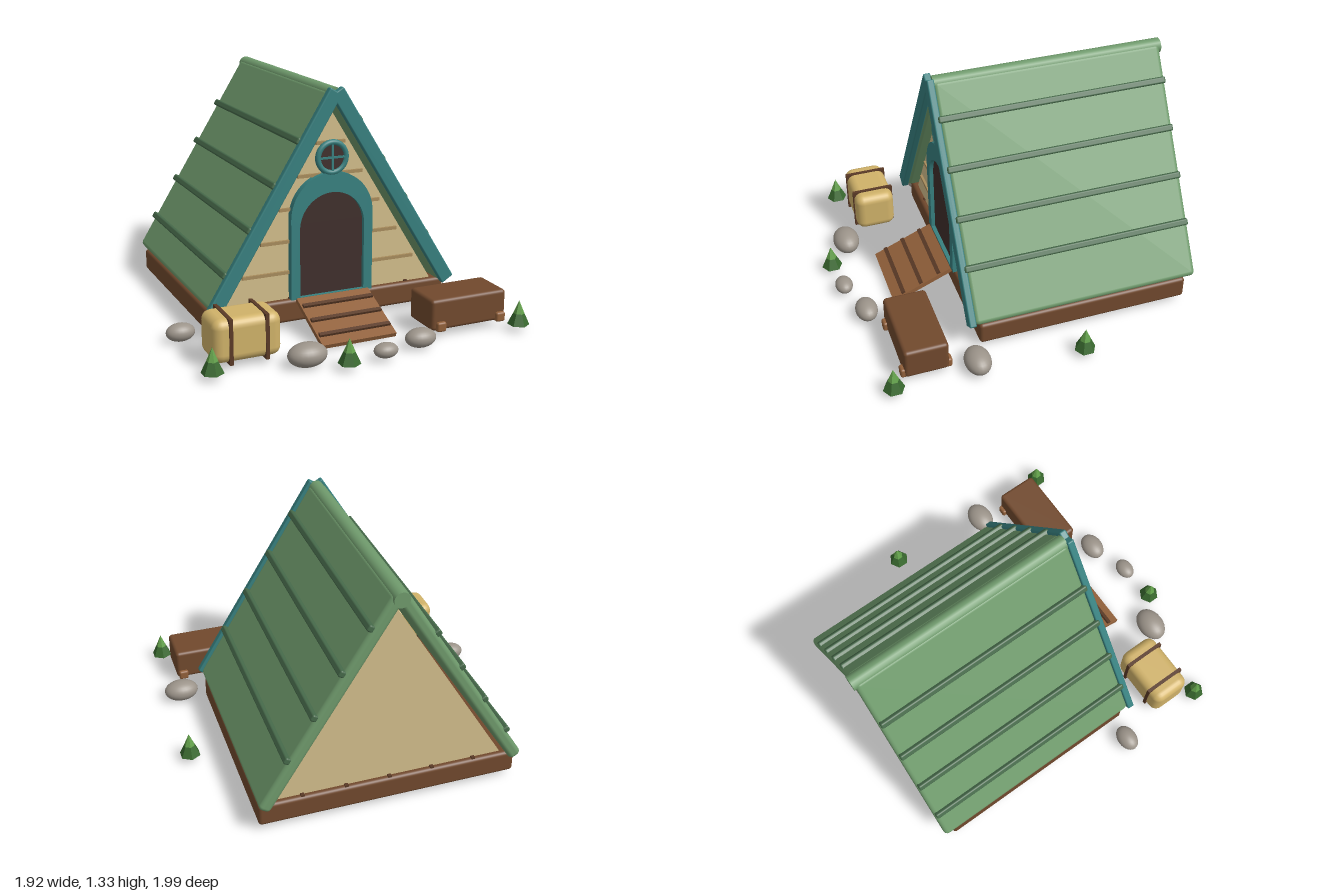
import * as THREE from 'three';
import { RoundedBoxGeometry } from 'three/addons/geometries/RoundedBoxGeometry.js';

const mat = (color) => new THREE.MeshStandardMaterial({ color });
const M = {
  roof: mat(0x6f9a6c), batten: mat(0x46694a), trim: mat(0x37807f), wall: mat(0xd2bd8b),
  siding: mat(0xa88c5c), base: mat(0x71492d), ramp: mat(0x91603a), dark: mat(0x5a3a26),
  door: mat(0x3f2e2b), sack: mat(0xd0b269), rock: mat(0x9c948a), bush: mat(0x39692f), bushTop: mat(0x62a04a),
};
M.bush.flatShading = M.bushTop.flatShading = true;

function add(parent, name, geo, material, x = 0, y = 0, z = 0) {
  const m = new THREE.Mesh(geo, material);
  m.name = name;
  m.position.set(x, y, z);
  parent.add(m);
  return m;
}
const box = (w, h, d) => new THREE.BoxGeometry(w, h, d);
const rbox = (w, h, d, r) => new RoundedBoxGeometry(w, h, d, 3, r);
const extrude = (shape, depth) =>
  new THREE.ExtrudeGeometry(shape, { depth, bevelEnabled: false, curveSegments: 24 });

// Round-topped outline used by the door and its frame
function arch(target, r, bottom, spring) {
  target.moveTo(-r, bottom);
  target.lineTo(r, bottom);
  target.lineTo(r, spring);
  target.absarc(0, spring, r, 0, Math.PI, false);
  target.lineTo(-r, bottom);
  return target;
}

const PITCH = THREE.MathUtils.degToRad(58.2);

function buildHouse() {
  const house = new THREE.Group();
  house.name = 'house';
  house.position.x = -0.025;

  // Base and floor strips
  add(house, 'base', rbox(1.44, 0.13, 1.23, 0.02), M.base, 0, 0.1, -0.315);
  for (let i = -2; i <= 2; i++) add(house, 'floorStrip', box(0.02, 0.02, 1.2), M.dark, i * 0.24, 0.163, -0.32);

  // Triangular body
  const tri = new THREE.Shape();
  tri.moveTo(-0.645, 0.16);
  tri.lineTo(0.645, 0.16);
  tri.lineTo(0, 1.21);
  add(house, 'body', extrude(tri, 1.17), M.wall, 0, 0, -0.9);

  // Siding strips on the front wall
  for (const y of [0.32, 0.495, 0.675, 0.85, 1.025]) {
    add(house, 'sidingStrip', box((1.165 - y) * 1.23, 0.018, 0.02), M.siding, 0, y, 0.275);
  }

  // Roof slopes, with battens and front trim
  for (const s of [1, -1]) {
    const slope = new THREE.Group();
    slope.name = s > 0 ? 'leftRoof' : 'rightRoof';
    slope.position.set(s * 0.355, 0.735, 0);
    slope.rotation.z = -s * PITCH;
    house.add(slope);
    add(slope, 'roofPanel', rbox(1.328, 0.07, 1.315, 0.025), M.roof, 0, 0, -0.3275);
    add(slope, 'roofTrim', rbox(1.345, 0.08, 0.04, 0.008), M.trim, s * -0.005, 0.006, 0.345);
    const shift = s > 0 ? -0.055 : 0.055;
    for (let i = 0; i < 4; i++) {
      const along = -0.405 + i * 0.27 + shift;
      add(slope, 'roofBatten', rbox(0.038, 0.035, 1.32, 0.01), M.batten, s * along, 0.04, -0.32);
    }
  }
  const ridge = add(house, 'ridge', new THREE.CylinderGeometry(0.043, 0.043, 1.325, 16), M.roof, 0, 1.288, -0.3335);
  ridge.rotation.x = Math.PI / 2;

  // Door and frame
  const frame = arch(new THREE.Shape(), 0.245, 0.165, 0.62);
  frame.holes.push(arch(new THREE.Path(), 0.193, 0.175, 0.56));
  add(house, 'doorFrame', extrude(frame, 0.05), M.trim, 0, 0, 0.26);
  add(house, 'door', extrude(arch(new THREE.Shape(), 0.2, 0.17, 0.56), 0.025), M.door, 0, 0, 0.262);

  // Round window
  const win = new THREE.Group();
  win.name = 'window';
  win.position.set(0, 0.945, 0.29);
  house.add(win);
  add(win, 'windowRing', new THREE.TorusGeometry(0.083, 0.016, 12, 40), M.trim, 0, 0, 0.01);
  const glass = add(win, 'windowGlass', new THREE.CylinderGeometry(0.08, 0.08, 0.03, 32), M.door);
  glass.rotation.x = Math.PI / 2;
  add(win, 'windowBar', box(0.012, 0.15, 0.015), M.trim, 0, 0, 0.015);
  add(win, 'windowBar', box(0.15, 0.012, 0.015), M.trim, 0, 0, 0.015);

  // Entrance ramp with slats
  const ramp = new THREE.Group();
  ramp.name = 'ramp';
  ramp.position.set(0, 0.092, 0.485);
  ramp.rotation.x = 0.4;
  house.add(ramp);
  add(ramp, 'rampBoard', box(0.437, 0.025, 0.375), M.ramp);
  for (const z of [-0.115, 0, 0.115]) add(ramp, 'rampSlat', box(0.42, 0.018, 0.022), M.dark, 0, 0.018, z);
  return house;
}

function buildBale() {
  const bale = new THREE.Group();
  bale.name = 'bale';
  bale.position.set(-0.67, 0.153, 0.587);
  add(bale, 'baleBody', rbox(0.37, 0.235, 0.235, 0.05), M.sack);
  for (const x of [-0.095, 0.1]) add(bale, 'baleStrap', box(0.02, 0.245, 0.245), M.dark, x, 0, 0);
  return bale;
}

function buildChest() {
  const chest = new THREE.Group();
  chest.name = 'chest';
  chest.position.set(0.588, 0.13, 0.635);
  add(chest, 'chestBody', rbox(0.465, 0.175, 0.245, 0.02), M.base);
  for (const x of [-0.178, 0.195]) {
    for (const z of [-0.118, 0.118]) {
      add(chest, 'chestFoot', rbox(0.056, 0.055, 0.05, 0.012), M.ramp, x, -0.063, z);
    }
  }
  return chest;
}

export function createModel() {
  const model = new THREE.Group();
  model.name = 'cabin';
  model.add(buildHouse(), buildBale(), buildChest());

  // Rocks: x, z and three radii
  const rocks = [
    [-0.885, 0.24, 0.08, 0.05, 0.057], [0.83, 0.36, 0.1, 0.06, 0.073],
    [-0.395, 0.805, 0.107, 0.064, 0.077], [0, 0.905, 0.067, 0.04, 0.05],
    [0.245, 0.83, 0.087, 0.052, 0.063],
  ];
  for (const [x, z, rx, ry, rz] of rocks) {
    const rock = add(model, 'rock', new THREE.SphereGeometry(1, 24, 16), M.rock, x, Math.max(ry, 0.058), z);
    rock.scale.set(rx, ry, rz);
  }

  // Six-sided bushes with a lighter tip
  for (const [x, z] of [[0.905, -0.23], [-0.885, 0.76], [-0.22, 0.93], [0.86, 0.83]]) {
    const bush = new THREE.Group();
    bush.name = 'bush';
    bush.position.set(x, 0.035, z);
    model.add(bush);
    add(bush, 'bushBase', new THREE.ConeGeometry(0.06, 0.13, 6), M.bush, 0, 0.065, 0);
    add(bush, 'bushTip', new THREE.ConeGeometry(0.036, 0.085, 6), M.bushTop, 0, 0.0935, 0);
  }
  return model;
}
